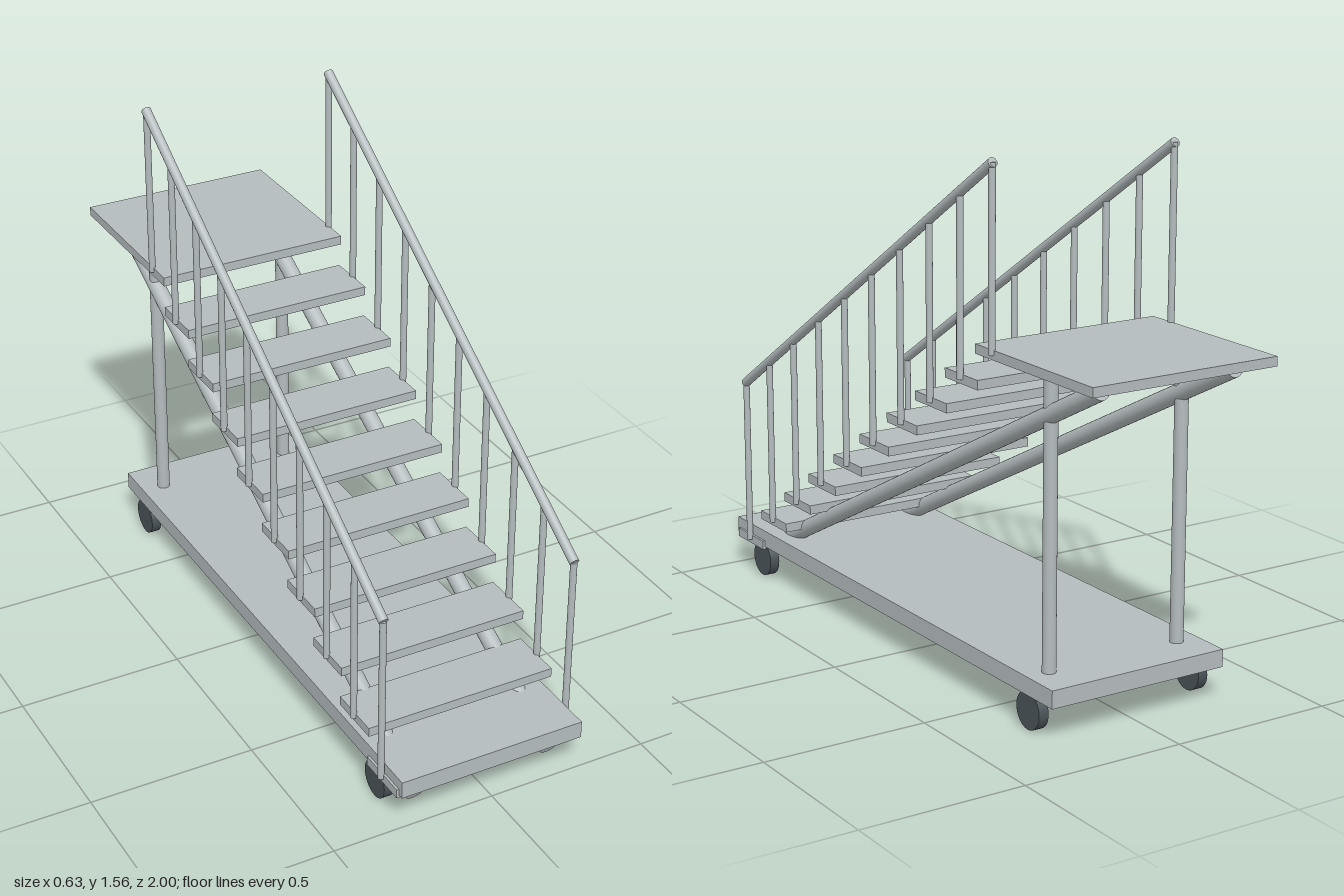
import * as THREE from 'three';

const STEPS = 9, RUN = 0.159, RISE = 0.102; // stair pitch
const Z0 = 0.9, Y0 = 0.107;                 // centre of the lowest tread

export function createModel() {
  const group = new THREE.Group();
  const metal = new THREE.MeshStandardMaterial({ color: 0xb4bcbe });
  metal.name = 'paleGreyMetal';
  const rubber = new THREE.MeshStandardMaterial({ color: 0x4a5459 });
  rubber.name = 'darkRubber';

  const add = (name, geometry, material = metal) => {
    const mesh = new THREE.Mesh(geometry, material);
    mesh.name = name;
    group.add(mesh);
    return mesh;
  };
  const slab = (name, w, h, d, y, z) =>
    add(name, new THREE.BoxGeometry(w, h, d)).position.set(0, y, z);
  // Round bar between two points
  const bar = (name, a, b, r) => {
    const from = new THREE.Vector3(...a), to = new THREE.Vector3(...b);
    const dir = to.clone().sub(from);
    const mesh = add(name, new THREE.CylinderGeometry(r, r, dir.length(), 24));
    mesh.position.copy(from).add(to).multiplyScalar(0.5);
    mesh.quaternion.setFromUnitVectors(new THREE.Vector3(0, 1, 0), dir.normalize());
  };

  // Rolling base and top landing
  slab('base', 0.58, 0.053, 1.815, 0.1275, 0.0925);
  slab('landing', 0.6, 0.028, 0.552, 1.025, -0.724);

  // Treads
  for (let i = 0; i < STEPS; i++) {
    slab('tread', 0.595, 0.028, 0.167, Y0 + i * RISE, Z0 - i * RUN);
  }

  for (const side of [-1, 1]) {
    // Sloping stringer and upright column under the landing
    const x = side * 0.218;
    bar('stringer', [x, 0.052, 0.945], [x, 1.0, -0.92], 0.026);
    bar('column', [x, 0.14, -0.694], [x, 1.013, -0.694], 0.02);

    // Handrail with one baluster per tread and one on the landing
    const rx = side * 0.3;
    const zEnd = Z0 - STEPS * RUN;
    bar('handrail', [rx, 0.63, Z0 + 0.003], [rx, 1.548, zEnd - 0.003], 0.0145);
    for (let i = 0; i <= STEPS; i++) {
      const z = Z0 - i * RUN;
      bar('baluster', [rx, Y0 + i * RISE, z], [rx, 0.63 + (0.918 * i) / STEPS, z], 0.01);
    }

    // Wheels
    for (const z of [0.842, -0.694]) {
      const wheel = add('wheel', new THREE.CylinderGeometry(0.056, 0.056, 0.031, 32), rubber);
      wheel.rotation.z = Math.PI / 2;
      wheel.position.set(side * 0.272, 0.056, z);
    }
  }
  return group;
}
